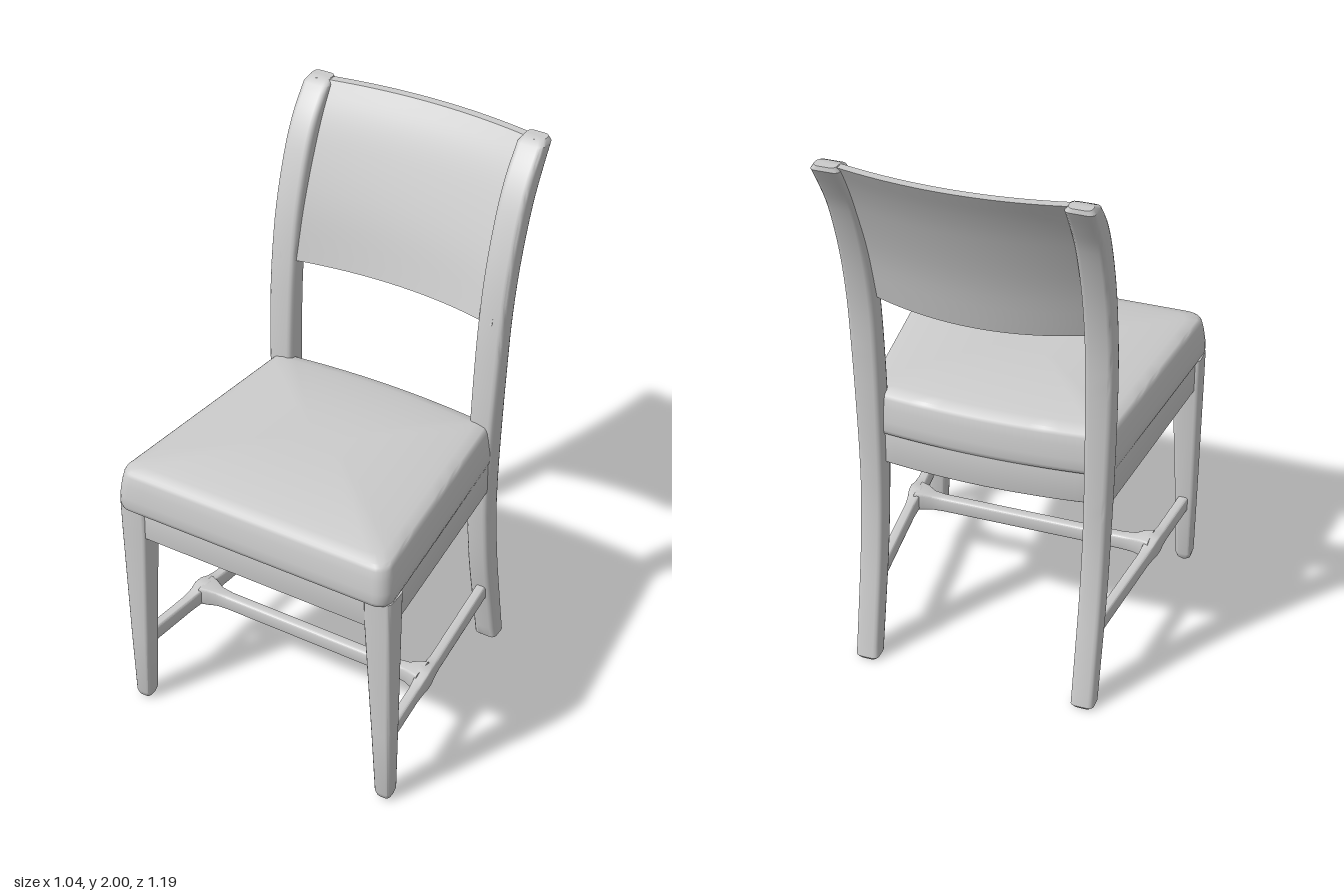
import * as THREE from 'three';
import { toCreasedNormals } from 'three/addons/utils/BufferGeometryUtils.js';

// Skin through equal-length closed rings of [x, y, z], capped at both ends and turned outward
function loft(rings, crease = 0.6) {
  const n = rings[0].length;
  const pts = rings.flat();
  const idx = [];
  for (let i = 0; i < rings.length - 1; i++) {
    for (let j = 0; j < n; j++) {
      const a = i * n + j, b = i * n + (j + 1) % n;
      idx.push(a, b, b + n, a, b + n, a + n);
    }
  }
  [0, rings.length - 1].forEach((r, end) => {
    const c = [0, 1, 2].map(k => rings[r].reduce((s, p) => s + p[k], 0) / n);
    pts.push(c);
    for (let j = 0; j < n; j++) {
      const a = r * n + j, b = r * n + (j + 1) % n, m = pts.length - 1;
      if (end) idx.push(a, b, m); else idx.push(b, a, m);
    }
  });
  // Flip the winding when the enclosed volume is negative
  let volume = 0;
  const v = pts.map(p => new THREE.Vector3(...p));
  for (let i = 0; i < idx.length; i += 3) {
    volume += v[idx[i]].dot(v[idx[i + 1]].clone().cross(v[idx[i + 2]]));
  }
  if (volume < 0) idx.reverse();
  const g = new THREE.BufferGeometry().setFromPoints(v);
  g.setIndex(idx);
  return toCreasedNormals(g, crease);
}

// Rounded rectangle as [u, v] points
function roundRect(u0, u1, v0, v1, r, seg = 3) {
  const out = [];
  [[u1 - r, v1 - r], [u0 + r, v1 - r], [u0 + r, v0 + r], [u1 - r, v0 + r]].forEach(([u, w], q) => {
    for (let i = 0; i <= seg; i++) {
      const t = (q + i / seg) * Math.PI / 2;
      out.push([u + r * Math.cos(t), w + r * Math.sin(t)]);
    }
  });
  return out;
}

// Smooth samples through rows of three numbers
const smooth = (rows, n) =>
  new THREE.CatmullRomCurve3(rows.map(r => new THREE.Vector3(...r)), false, 'centripetal').getPoints(n);

export function createModel() {
  const group = new THREE.Group();
  const paint = new THREE.MeshStandardMaterial({ color: 0xcccccc });
  paint.name = 'light grey';
  const add = (name, geometry) => {
    const mesh = new THREE.Mesh(geometry, paint);
    mesh.name = name;
    group.add(mesh);
  };

  // Swept back posts: height, front z, back z
  const postRows = [
    [0.01, -0.36, -0.435], [0.2, -0.32, -0.4], [0.4, -0.28, -0.365], [0.6, -0.255, -0.342],
    [0.76, -0.243, -0.335], [1.0, -0.245, -0.335], [1.2, -0.256, -0.34], [1.4, -0.275, -0.355],
    [1.6, -0.31, -0.395], [1.8, -0.375, -0.465], [1.9, -0.427, -0.52], [1.985, -0.495, -0.575],
  ];
  const postSamples = smooth(postRows, 44);
  const postRing = (s, y, zf, zb, inset) => {
    const outer = 0.437 + 0.013 * THREE.MathUtils.smoothstep(y, 0.6, 1.4);
    return roundRect(0.354 + inset, outer - inset, zb + inset, zf - inset, 0.018)
      .map(([x, z]) => [s * x, y, z]);
  };

  for (const s of [1, -1]) {
    const side = s > 0 ? 'left' : 'right';

    const rings = postSamples.map(p => postRing(s, p.x, p.y, p.z, 0));
    rings.unshift(postRing(s, 0, -0.362, -0.437, 0.008));
    rings.push(postRing(s, 2, -0.515, -0.583, 0.01));
    add(side + 'BackPost', loft(rings));

    // Tapered front legs with rounded feet: y, inner x, outer x, back z, front z
    const legRows = [
      [0, 0.474, 0.504, 0.502, 0.536], [0.01, 0.465, 0.513, 0.494, 0.545],
      [0.03, 0.459, 0.518, 0.489, 0.551], [0.3, 0.447, 0.519, 0.485, 0.558],
      [0.76, 0.422, 0.52, 0.478, 0.566], [0.885, 0.42, 0.52, 0.476, 0.567],
    ];
    add(side + 'FrontLeg', loft(legRows.map(([y, xi, xo, zb, zf]) =>
      roundRect(xi, xo, zb, zf, 0.014).map(([x, z]) => [s * x, y, z]))));

    // Side apron
    add(side + 'Apron', loft([[0.52, 0.508], [-0.28, 0.432]].map(([z, x]) =>
      roundRect(x - 0.06, x, 0.757, 0.885, 0.006).map(([u, y]) => [s * u, y, z]))));

    // Side stretcher, swelling where the cross stretcher joins: z, top y, half width
    const barRows = [
      [0.5, 0.29, 0.018], [0.29, 0.288, 0.018], [0.245, 0.293, 0.021], [0.215, 0.303, 0.025],
      [0.185, 0.303, 0.025], [0.155, 0.293, 0.021], [0.11, 0.288, 0.018], [-0.32, 0.29, 0.018],
    ];
    add(side + 'Stretcher', loft(barRows.map(([z, top, h]) => {
      const x = 0.4 + (z + 0.32) * 0.1;
      return roundRect(x - h, x + h, 0.231, top, 0.008).map(([u, y]) => [s * u, y, z]);
    })));
  }

  // Cross stretcher with flared ends: x, top y, half depth
  const crossHalf = [[0.445, 0.303, 0.045], [0.415, 0.301, 0.036], [0.385, 0.291, 0.024], [0.34, 0.288, 0.02]];
  const crossRows = [...crossHalf.map(([x, t, h]) => [-x, t, h]), ...[...crossHalf].reverse()];
  add('crossStretcher', loft(crossRows.map(([x, top, h]) =>
    roundRect(0.2 - h, 0.2 + h, 0.231, top, 0.008).map(([z, y]) => [x, y, z]))));

  // Front apron and bowed back apron
  add('frontApron', loft([-0.46, 0.46].map(x =>
    roundRect(0.5, 0.56, 0.757, 0.885, 0.006).map(([z, y]) => [x, y, z]))));
  const backRings = [];
  for (let i = 0; i <= 12; i++) {
    const x = -0.38 + 0.76 * i / 12, z = -0.318 + 0.2 * x * x;
    backRings.push(roundRect(z, z + 0.05, 0.757, 0.885, 0.006).map(([u, y]) => [x, y, u]));
  }
  add('backApron', loft(backRings));

  // Cushion outline in plan: rounded front corners, tapered sides, bowed back
  const outline = [];
  for (let i = 0; i <= 16; i++) outline.push([-0.47 + 0.94 * i / 16, 0.59]);
  for (let i = 1; i <= 5; i++) {
    const t = Math.PI / 2 * (1 - i / 5);
    outline.push([0.47 + 0.05 * Math.cos(t), 0.54 + 0.05 * Math.sin(t)]);
  }
  for (let i = 1; i <= 14; i++) outline.push([0.52 - 0.086 * i / 14, 0.54 - 0.84 * i / 14]);
  for (let i = 1; i < 16; i++) {
    const x = 0.434 - 0.868 * i / 16;
    outline.push([x, -0.325 + 0.16 * x * x]);
  }
  for (let i = 0; i < 14; i++) outline.push([-0.434 - 0.086 * i / 14, -0.3 + 0.84 * i / 14]);
  for (let i = 0; i < 5; i++) {
    const t = Math.PI - Math.PI / 2 * i / 5;
    outline.push([-0.47 + 0.05 * Math.cos(t), 0.54 + 0.05 * Math.sin(t)]);
  }
  const zMid = 0.13;
  const cushionRing = (y, inset) => outline.map(([x, z]) =>
    [x * (1 - inset / 0.5), y, zMid + (z - zMid) * (1 - inset / 0.46)]);
  const cushion = [[0.872, 0.014], [0.88, 0.004], [0.895, 0], [0.93, 0.001], [0.98, 0.007],
    [1.01, 0.013], [1.022, 0.018], [1.029, 0.026]].map(([y, i]) => cushionRing(y, i));
  // Domed top
  for (let i = 1; i <= 12; i++) {
    const s = 1 - i / 12.5;
    cushion.push(cushionRing(1.031 + 0.037 * (1 - s ** 2.4), 0.026 + (1 - s) * 0.432));
  }
  add('seatCushion', loft(cushion, 0.7));

  // Curved backrest panel: height, front z, back z on the centre line
  const panelRows = smooth([
    [1.405, -0.35, -0.375], [1.6, -0.398, -0.425], [1.8, -0.47, -0.5], [1.9, -0.515, -0.547], [1.995, -0.57, -0.6],
  ], 16);
  const panelRings = [];
  for (let i = 0; i <= 28; i++) {
    const x = -0.41 + 0.82 * i / 28;
    const at = (p, z) => {
      const t = (p.x - 1.405) / 0.59;
      return [x, p.x + 0.1 * x * x * (1 - t) + 0.02 * x * x * t, z + (0.45 - 0.15 * t) * x * x];
    };
    panelRings.push([
      ...panelRows.map(p => at(p, p.y)),
      ...[...panelRows].reverse().map(p => at(p, p.z)),
    ]);
  }
  add('backrestPanel', loft(panelRings));

  return group;
}
